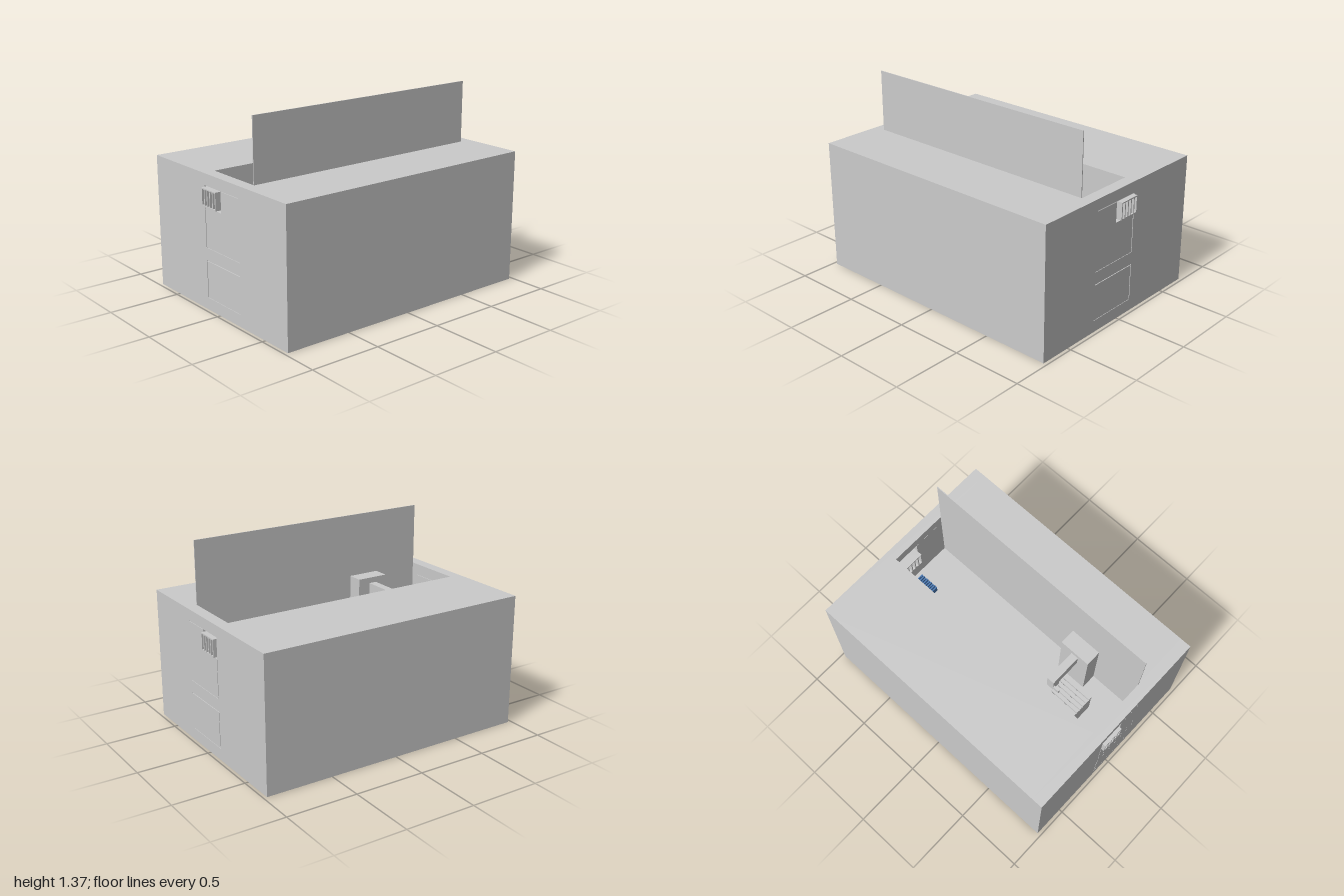
import * as THREE from 'three';

const grey = new THREE.MeshStandardMaterial({ color: 0xcccccc, flatShading: true });
const blue = new THREE.MeshStandardMaterial({ color: 0x4a7ab5, flatShading: true });

// Box given by its limits on each axis
function block(parent, name, [x0, x1], [y0, y1], [z0, z1], material = grey) {
  const mesh = new THREE.Mesh(new THREE.BoxGeometry(x1 - x0, y1 - y0, z1 - z0), material);
  mesh.position.set((x0 + x1) / 2, (y0 + y1) / 2, (z0 + z1) / 2);
  mesh.name = name;
  parent.add(mesh);
  return mesh;
}

function group(parent, name) {
  const g = new THREE.Group();
  g.name = name;
  parent.add(g);
  return g;
}

const rect = (path, u0, u1, v0, v1) => {
  path.moveTo(u0, v0);
  path.lineTo(u1, v0);
  path.lineTo(u1, v1);
  path.lineTo(u0, v1);
  path.closePath();
  return path;
};

const W = 0.975, H = 0.93, D = 0.73; // half width, height, half depth
const IN = 0.893, BACK = -0.145, FRONT = 0.29, FLOOR = 0.43; // chamber limits

// Side wall in the z-y plane, with a window and thin door gaps
function sideWall() {
  const shape = rect(new THREE.Shape(), -D, D, 0, H);
  const holes = [
    [-0.14, 0.045, 0.705, 0.85],
    [-0.14, -0.134, 0.432, 0.7],
    [-0.132, 0.24, 0.43, 0.433],
    [0.047, 0.24, 0.847, 0.85],
    [-0.14, -0.134, 0.088, 0.336],
    [-0.14, 0.24, 0.338, 0.343],
    [-0.14, 0.24, 0.083, 0.086],
  ];
  holes.forEach((h) => shape.holes.push(rect(new THREE.Path(), ...h)));
  const geometry = new THREE.ExtrudeGeometry(shape, { depth: W - IN, bevelEnabled: false });
  geometry.rotateY(-Math.PI / 2); // shape x becomes z, depth runs towards -x
  geometry.translate(W, 0, 0);
  return geometry;
}

// Barred vent running through the side wall
function vent(parent, s) {
  const g = group(parent, s > 0 ? 'leftVent' : 'rightVent');
  const x = s > 0 ? [0.825, 1] : [-1, -0.825];
  block(g, 'ventTop', x, [0.832, 0.84], [-0.14, 0.022]);
  block(g, 'ventBottom', x, [0.718, 0.726], [-0.14, 0.022]);
  for (let i = 0; i < 6; i++) {
    const z = -0.136 + i * 0.0308;
    block(g, 'ventBar', x, [0.726, 0.832], [z - 0.004, z + 0.004]);
  }
}

export function createModel() {
  const model = new THREE.Group();
  model.name = 'chamberBox';

  // Cabinet around the chamber
  const cabinet = group(model, 'cabinet');
  block(cabinet, 'frontBody', [-IN, IN], [0, H], [FRONT, D]);
  block(cabinet, 'backBody', [-IN, IN], [0, H], [-D, BACK]);
  block(cabinet, 'chamberFloor', [-IN, IN], [0, FLOOR], [BACK, FRONT]);
  const wall = sideWall();
  const left = new THREE.Mesh(wall, grey);
  left.name = 'leftWall';
  const right = new THREE.Mesh(wall.clone().translate(-W - IN, 0, 0), grey);
  right.name = 'rightWall';
  cabinet.add(left, right);
  vent(model, 1);
  vent(model, -1);

  // Lid standing open on the front edge of the chamber
  block(model, 'lid', [-0.895, 0.89], [H, 1.365], [0.29, 0.296]);

  // Column with an arm reaching over the rack
  const machine = group(model, 'machine');
  block(machine, 'column', [-0.56, -0.33], [FLOOR, 0.92], [0.178, FRONT]);
  block(machine, 'arm', [-0.475, -0.42], [0.785, 0.88], [0, 0.178]);
  block(machine, 'armHead', [-0.475, -0.42], [0.745, 0.88], [-0.06, 0]);
  block(machine, 'armTool', [-0.52, -0.475], [0.76, 0.8], [-0.06, -0.045]);

  // Slatted rack
  const rack = group(model, 'rack');
  for (let i = 0; i < 8; i++) {
    const z = -0.125 + i * 0.031;
    block(rack, 'rackSlat', [-0.685, -0.45], [0.62, 0.64], [z - 0.012, z + 0.012]);
  }
  for (const x of [-0.68, -0.565, -0.455]) {
    block(rack, 'rackSupport', [x - 0.005, x + 0.005], [FLOOR, 0.62], [-0.137, 0.1]);
  }

  // Framed recesses along the back wall
  for (let i = 0; i < 4; i++) {
    const x = -0.375 + i * 0.18;
    const g = group(model, 'wallFrame');
    const z = [BACK, -0.12];
    block(g, 'frameSide', [x, x + 0.008], [0.5, 0.69], z);
    block(g, 'frameSide', [x + 0.147, x + 0.155], [0.5, 0.69], z);
    block(g, 'frameTop', [x + 0.008, x + 0.147], [0.682, 0.69], [BACK, -0.133]);
    block(g, 'frameBottom', [x + 0.008, x + 0.147], [0.5, 0.508], [BACK, -0.133]);
  }

  // Blue comb on its wall bracket
  const comb = group(model, 'comb');
  block(comb, 'combBracket', [0.63, 0.785], [0.6, 0.68], [BACK, -0.085]);
  for (let i = 0; i < 9; i++) {
    const x = 0.64 + i * 0.017;
    block(comb, 'combTooth', [x - 0.005, x + 0.005], [0.61, 0.67], [-0.085, -0.035], blue);
  }
  return model;
}
